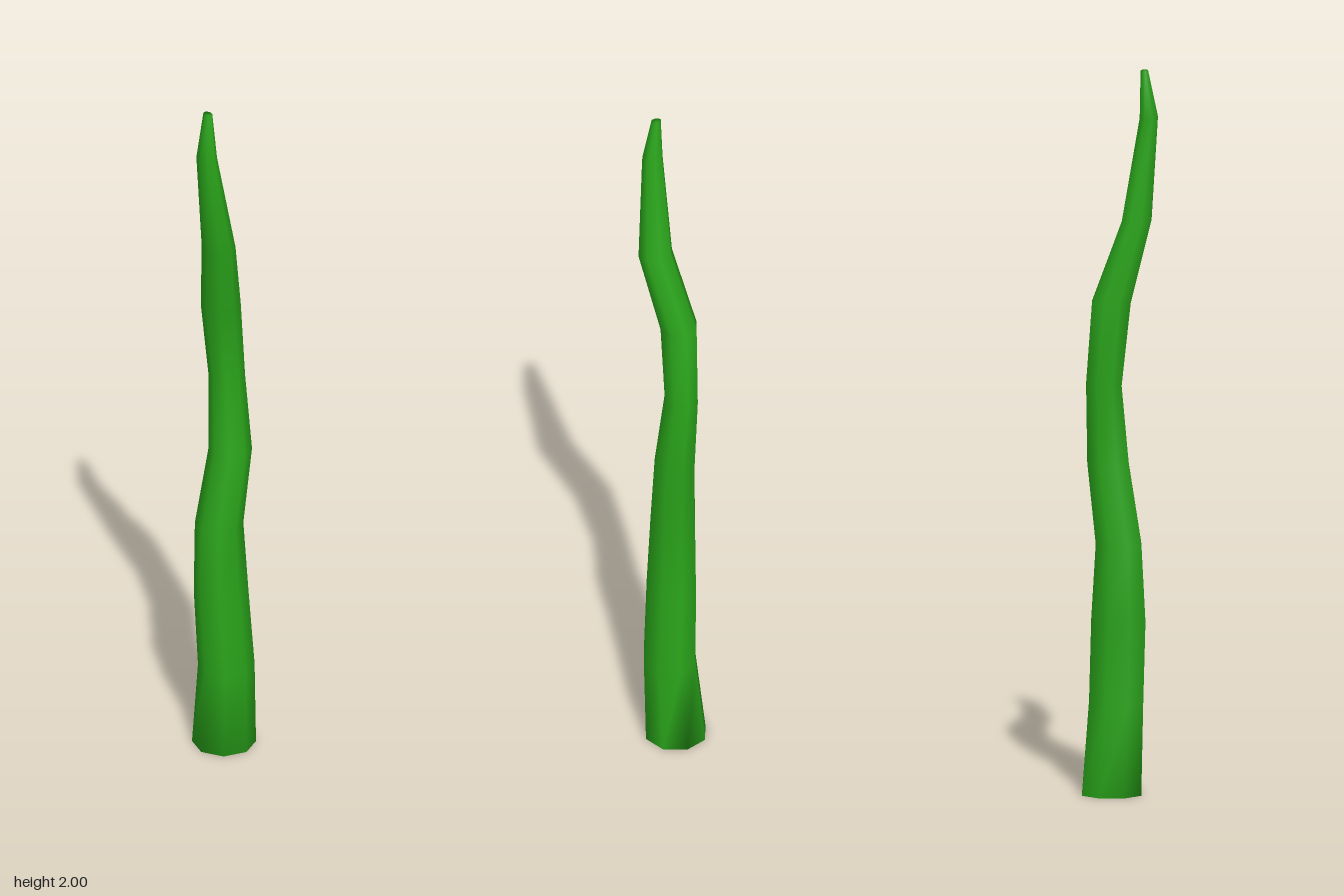
import * as THREE from 'three';

// Cross-sections from root to tip: height, x min, x max, z min, z max
const RINGS = [
  [0, -0.07, 0.105, -0.087, 0.087],
  [0.25, -0.07, 0.09, -0.06, 0.09],
  [0.48, -0.08, 0.08, -0.065, 0.075],
  [0.69, -0.07, 0.065, -0.065, 0.065],
  [0.91, -0.03, 0.093, -0.048, 0.068],
  [1.13, -0.015, 0.09, -0.055, 0.04],
  [1.36, -0.042, 0.072, -0.062, 0.043],
  [1.58, -0.085, 0, -0.015, 0.083],
  [1.87, -0.107, -0.055, -0.005, 0.055],
  [2, -0.08, -0.06, 0.005, 0.033],
];
const SIDES = 8;

// Lofts a closed, smooth-shaded stalk through the rings
function loft(rings, sides) {
  const pos = [];
  const index = [];
  for (const [y, x0, x1, z0, z1] of rings) {
    for (let i = 0; i < sides; i++) {
      const a = (i / sides) * Math.PI * 2 + 0.06;
      pos.push((x0 + x1) / 2 + Math.cos(a) * (x1 - x0) / 2, y, (z0 + z1) / 2 + Math.sin(a) * (z1 - z0) / 2);
    }
  }
  for (let r = 0; r < rings.length - 1; r++) {
    for (let i = 0; i < sides; i++) {
      const j = (i + 1) % sides;
      const a = r * sides + i, b = r * sides + j;
      index.push(a, a + sides, b, b, a + sides, b + sides);
    }
  }
  // Flat end caps share the ring corners, so the shading rolls over the rims
  const top = (rings.length - 1) * sides;
  for (let i = 1; i < sides - 1; i++) {
    index.push(0, i, i + 1);
    index.push(top, top + i + 1, top + i);
  }
  const geo = new THREE.BufferGeometry();
  geo.setAttribute('position', new THREE.Float32BufferAttribute(pos, 3));
  geo.setIndex(index);
  geo.computeVertexNormals();
  return geo;
}

export function createModel() {
  const group = new THREE.Group();
  group.name = 'plantStalk';
  const green = new THREE.MeshStandardMaterial({ color: 0x2aa51a });
  const stalk = new THREE.Mesh(loft(RINGS, SIDES), green);
  stalk.name = 'stalk';
  group.add(stalk);
  return group;
}
